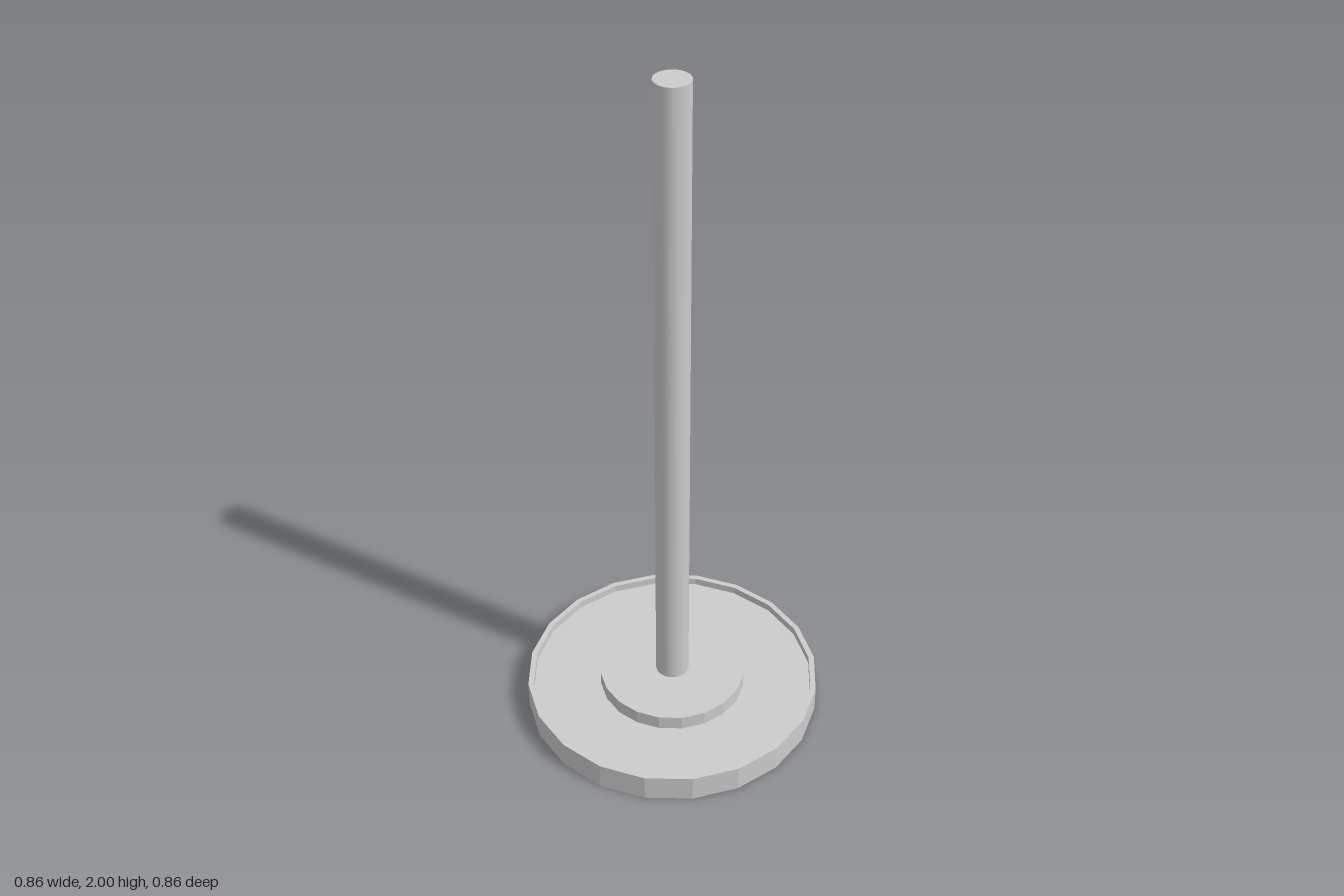
import * as THREE from 'three';

const SIDES = 20;

function add(group, name, geometry, material, y = 0) {
  const mesh = new THREE.Mesh(geometry, material);
  mesh.name = name;
  mesh.position.y = y;
  group.add(mesh);
}

export function createModel() {
  const group = new THREE.Group();
  group.name = 'poleStand';
  const faceted = new THREE.MeshStandardMaterial({ color: 0xcccccc, flatShading: true });
  const smooth = new THREE.MeshStandardMaterial({ color: 0xcccccc });

  const floorY = 0.057, hubTop = 0.1, poleTop = 2;

  // Shallow dish with a thin raised rim
  const profile = [
    [0, 0], [0.428, 0], [0.428, 0.08], [0.412, 0.08], [0.412, floorY], [0, floorY],
  ].map(([r, y]) => new THREE.Vector2(r, y));
  add(group, 'base', new THREE.LatheGeometry(profile, SIDES), faceted);

  // Raised disc in the middle of the dish
  const hubHeight = hubTop - floorY;
  add(group, 'hub', new THREE.CylinderGeometry(0.213, 0.213, hubHeight, SIDES),
    faceted, floorY + hubHeight / 2);

  // Tall round pole
  const poleHeight = poleTop - hubTop;
  add(group, 'pole', new THREE.CylinderGeometry(0.048, 0.048, poleHeight, 32),
    smooth, hubTop + poleHeight / 2);

  return group;
}
